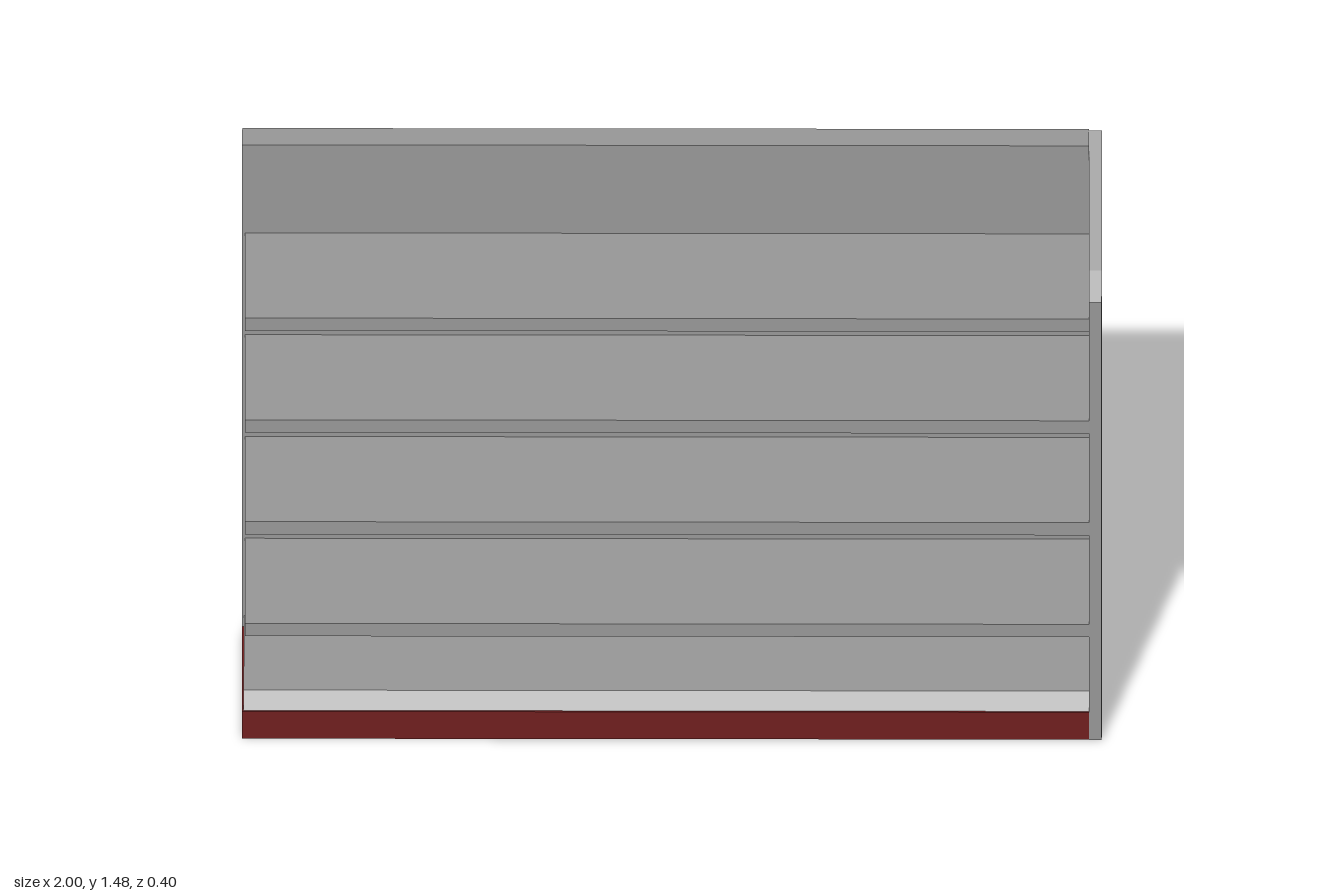
import * as THREE from 'three';

const grey = new THREE.MeshStandardMaterial({ color: 0x989898 });
grey.name = 'grey metal';
const red = new THREE.MeshStandardMaterial({ color: 0x701f1f });
red.name = 'dark red';

const LEFT_END = -1, INNER = 0.97, WALL = -0.13, FRONT = 0.2;

// Box given by its low and high corners
function box(name, x0, x1, y0, y1, z0, z1, material = grey) {
  const mesh = new THREE.Mesh(new THREE.BoxGeometry(x1 - x0, y1 - y0, z1 - z0), material);
  mesh.position.set((x0 + x1) / 2, (y0 + y1) / 2, (z0 + z1) / 2);
  mesh.name = name;
  return mesh;
}

// Side profile of [z, y] points, extruded along x
function profile(name, points, x0, x1) {
  const shape = new THREE.Shape(points.map(([z, y]) => new THREE.Vector2(-z, y)));
  const geometry = new THREE.ExtrudeGeometry(shape, { depth: x1 - x0, bevelEnabled: false });
  geometry.rotateY(Math.PI / 2);
  geometry.translate(x0, 0, 0);
  const mesh = new THREE.Mesh(geometry, grey);
  mesh.name = name;
  return mesh;
}

export function createModel() {
  const model = new THREE.Group();
  model.name = 'shelvingUnit';

  model.add(box('backPanel', LEFT_END, INNER, 0, 1.48, -0.195, WALL));

  // Tall end panel with a sloping top
  model.add(profile('endPanel', [
    [0.2, 0], [0.203, 1.275], [0.14, 1.32], [-0.19, 1.48], [-0.2, 0],
  ], INNER, 1));

  // Base with a bevelled front edge
  model.add(profile('base', [
    [FRONT - 0.004, 0], [FRONT - 0.004, 0.08], [0.16, 0.112], [WALL, 0.112], [WALL, 0],
  ], LEFT_END + 0.004, INNER));

  // Red kick plates on the front and open end of the base
  model.add(box('frontKickPlate', LEFT_END, INNER, 0.001, 0.08, FRONT - 0.004, FRONT, red));
  model.add(box('endKickPlate', LEFT_END, LEFT_END + 0.004, 0.001, 0.08, WALL, FRONT - 0.004, red));

  // Four shelves, each with a flange down the wall
  for (let i = 0; i < 4; i++) {
    const top = 0.336 + i * 0.296;
    const shelf = new THREE.Group();
    shelf.name = 'shelf' + (i + 1);
    shelf.add(box('shelfBoard', -0.993, INNER, top - 0.037, top, WALL, FRONT));
    shelf.add(box('shelfFlange', -0.993, INNER, top - 0.08, top - 0.037, WALL, WALL + 0.008));
    model.add(shelf);
  }
  return model;
}
